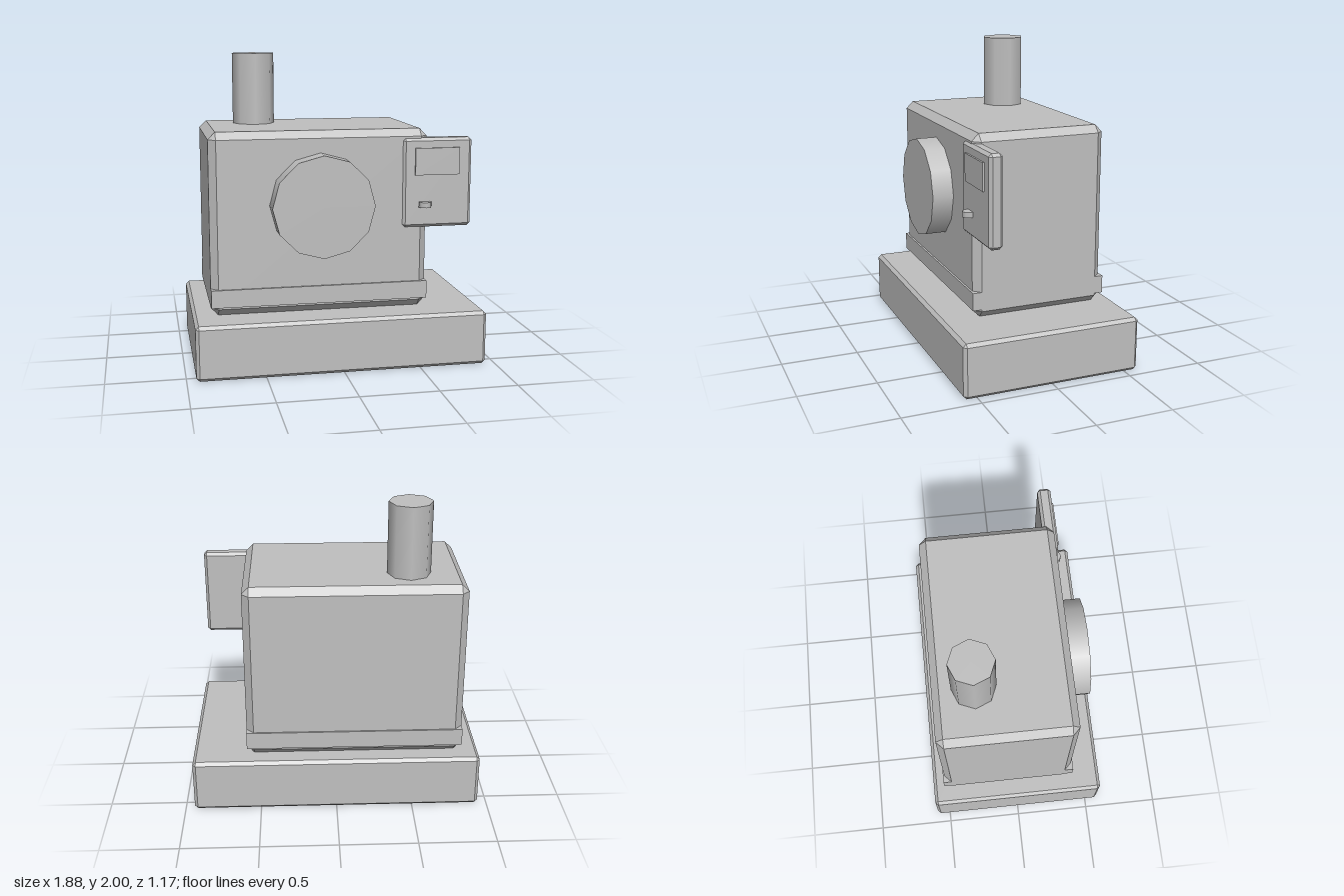
import * as THREE from 'three';
import { ConvexGeometry } from 'three/addons/geometries/ConvexGeometry.js';

const grey = new THREE.MeshStandardMaterial({ color: 0xbfbfbf });
grey.name = 'machine grey';

export function createModel() {
  const model = new THREE.Group();
  model.name = 'machine';

  const add = (name, geometry, x = 0, y = 0, z = 0) => {
    const mesh = new THREE.Mesh(geometry, grey);
    mesh.name = name;
    mesh.position.set(x, y, z);
    model.add(mesh);
    return mesh;
  };

  // Box given by its limits on each axis
  const box = (name, [x0, x1], [y0, y1], [z0, z1]) =>
    add(name, new THREE.BoxGeometry(x1 - x0, y1 - y0, z1 - z0),
      (x0 + x1) / 2, (y0 + y1) / 2, (z0 + z1) / 2);

  // Box with all edges chamfered: three points at every corner
  const chamferBox = (name, [x0, x1], [y0, y1], [z0, z1], c) => {
    const [w, h, d] = [(x1 - x0) / 2, (y1 - y0) / 2, (z1 - z0) / 2];
    const points = [];
    for (const i of [-1, 1]) for (const j of [-1, 1]) for (const k of [-1, 1]) {
      points.push(
        new THREE.Vector3(i * w, j * (h - c), k * (d - c)),
        new THREE.Vector3(i * (w - c), j * h, k * (d - c)),
        new THREE.Vector3(i * (w - c), j * (h - c), k * d));
    }
    return add(name, new ConvexGeometry(points), (x0 + x1) / 2, (y0 + y1) / 2, (z0 + z1) / 2);
  };

  // Plinth and main housing
  chamferBox('base', [-0.94, 0.94], [0, 0.355], [-0.587, 0.587], 0.021);
  chamferBox('housing', [-0.825, 0.585], [0.355, 1.53], [-0.5, 0.382], 0.047);

  // Skirting strips along the front and back of the housing
  box('frontStrip', [-0.825, 0.585], [0.415, 0.53], [0.335, 0.395]);
  box('backStrip', [-0.825, 0.585], [0.415, 0.53], [-0.51, -0.453]);

  // Round twelve-sided cover on the front
  const cover = add('roundCover', new THREE.CylinderGeometry(0.327, 0.327, 0.17, 12), -0.12, 1.063, 0.435);
  cover.rotation.x = Math.PI / 2;

  // Exhaust pipe on the roof
  add('exhaustPipe', new THREE.CylinderGeometry(0.14, 0.14, 0.5, 8), -0.47, 1.75, -0.238);

  // Control panel with screen and knob
  chamferBox('controlPanel', [0.415, 0.875], [0.89, 1.472], [0.31, 0.398], 0.019);
  box('screen', [0.495, 0.79], [1.233, 1.408], [0.39, 0.41]);
  add('knob', new THREE.CylinderGeometry(0.042, 0.042, 0.035, 8), 0.561, 1.042, 0.411);

  return model;
}
